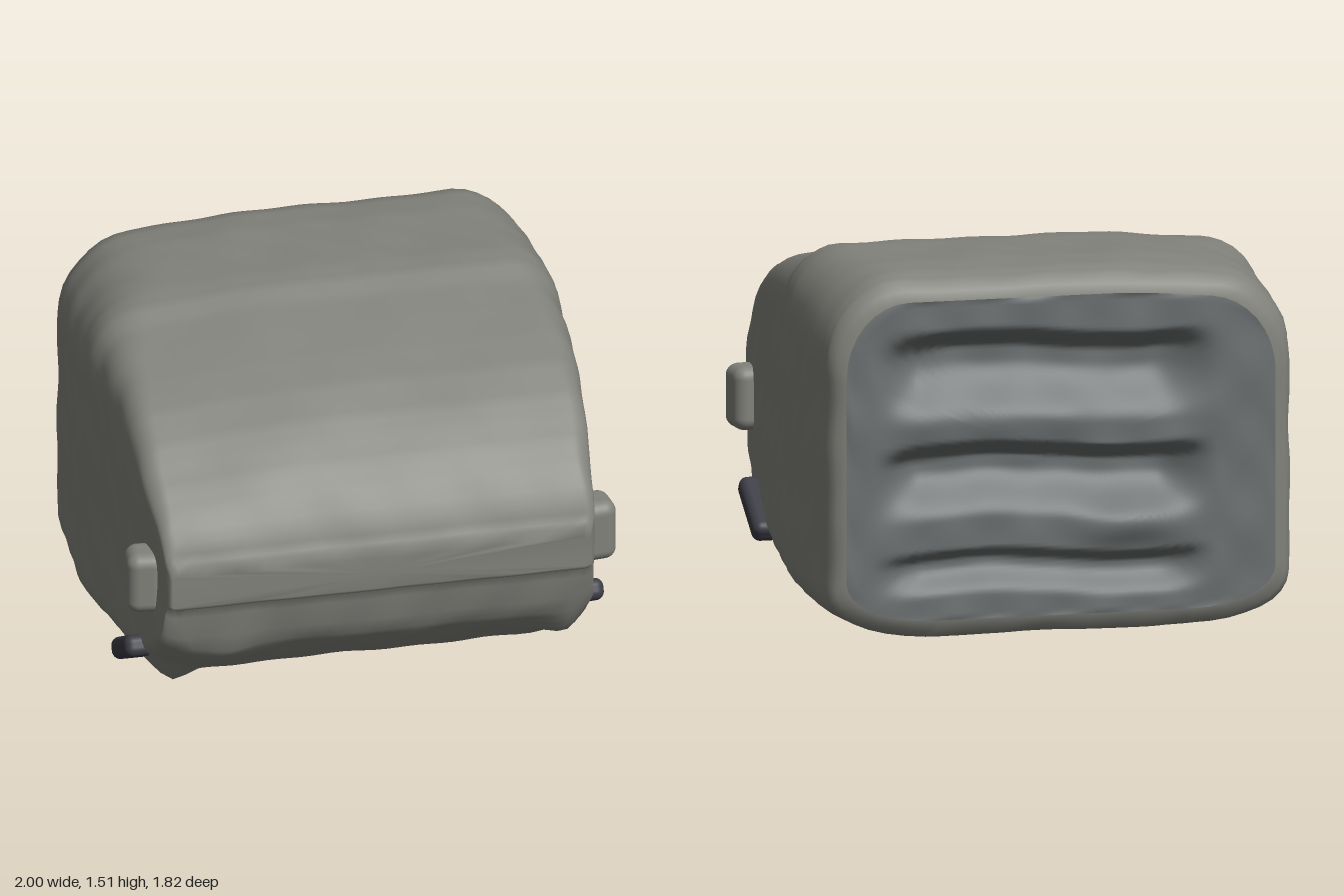
import * as THREE from 'three';
import { RoundedBoxGeometry } from 'three/addons/geometries/RoundedBoxGeometry.js';

const { smoothstep } = THREE.MathUtils;

// Sections from back to nose: z, bottom y, top y, half width, upper radius, lower radius
const SECTIONS = [
  [-0.865, 0.1, 1.4, 0.88, 0.26, 0.34],
  [-0.855, 0.06, 1.44, 0.92, 0.28, 0.37],
  [-0.82, 0.03, 1.475, 0.945, 0.29, 0.4],
  [-0.75, 0.015, 1.5, 0.955, 0.3, 0.42],
  [-0.6, 0.008, 1.515, 0.965, 0.3, 0.45],
  [-0.4, 0.01, 1.515, 0.975, 0.29, 0.45],
  [-0.24, 0.025, 1.515, 0.98, 0.26, 0.43],
  [-0.14, 0.04, 1.505, 0.968, 0.23, 0.4],
  [-0.05, 0.05, 1.465, 0.955, 0.2, 0.38],
  [0.1, 0.075, 1.425, 0.945, 0.16, 0.36],
  [0.25, 0.105, 1.38, 0.935, 0.13, 0.34],
  [0.4, 0.145, 1.325, 0.925, 0.1, 0.33],
  [0.54, 0.185, 1.25, 0.915, 0.09, 0.31],
  [0.61, 0.22, 1.2, 0.91, 0.08, 0.29],
  [0.7, 0.29, 1.13, 0.9, 0.07, 0.25],
  [0.78, 0.37, 1.05, 0.89, 0.06, 0.19],
  [0.83, 0.43, 0.985, 0.885, 0.05, 0.14],
  [0.86, 0.5, 0.94, 0.88, 0.05, 0.1],
  [0.878, 0.6, 0.895, 0.875, 0.04, 0.06],
  [0.89, 0.645, 0.86, 0.868, 0.03, 0.04],
  [0.905, 0.652, 0.845, 0.862, 0.03, 0.04],
  [0.912, 0.665, 0.8, 0.85, 0.02, 0.02],
];
const EDGE = 28, CORNER = 8, LOOP = 4 * (EDGE + CORNER);

// Rounded rectangle, counter-clockwise; the lower corners are wide and shallow
function loopPoints([, y0, y1, w, r, b]) {
  const corners = [
    [w, y0, 1, -1, b, b * 0.48], [w, y1, 1, 1, r, r * 1.15],
    [w, y1, -1, 1, r, r * 1.15], [w, y0, -1, -1, b, b * 0.48],
  ];
  const arcs = corners.map(([cw, cy, sx, sy, rx, ry], k) =>
    Array.from({ length: CORNER + 1 }, (_, i) => {
      const a = (k - 1 + i / CORNER) * Math.PI / 2;
      return [sx * (cw - rx) + rx * Math.cos(a), cy - sy * ry + ry * Math.sin(a)];
    }));
  const points = [];
  arcs.forEach((arc, k) => {
    points.push(...arc.slice(0, CORNER));
    const from = arc[CORNER], to = arcs[(k + 1) % 4][0];
    for (let i = 0; i < EDGE; i++) {
      const t = i / EDGE;
      points.push([from[0] + (to[0] - from[0]) * t, from[1] + (to[1] - from[1]) * t]);
    }
  });
  // the top sags a little towards the right side
  return points.map(([x, y]) =>
    [x, y - 0.045 * smoothstep(-x, 0.2, 0.9) * smoothstep(y, 0.85, 1.2)]);
}

// Gentle lumps of the rough surface
const lump = (x, y, z) => 0.005 * (
  Math.sin(9 * x + 5 * y + 3 * z) * Math.sin(7 * z - 6 * y + 1)
  + 0.7 * Math.sin(21 * x - 13 * z + 2) * Math.sin(19 * y + 17 * z));

// Knobs under the nose corners: x, z, spread, height out
const KNOBS = [[-0.78, 0.54, 0.08, 0.06], [0.78, 0.74, 0.07, 0.04], [-0.6, 0.8, 0.1, 0.025]];
const knob = (x, z) => KNOBS.reduce((sum, [kx, kz, spread, out]) =>
  sum + out * Math.exp(-((x - kx) ** 2 + (z - kz) ** 2) / spread ** 2), 0);

// Join equal loops into a skin, closing the last one with a centre point
function skin(rings) {
  const pos = rings.flat(2), index = [], last = rings.length - 1;
  for (let i = 0; i < last; i++) {
    for (let j = 0; j < LOOP; j++) {
      const a = i * LOOP + j, b = i * LOOP + (j + 1) % LOOP;
      index.push(a, b, b + LOOP, a, b + LOOP, a + LOOP);
    }
  }
  const centre = [0, 1, 2].map((k) => rings[last].reduce((s, p) => s + p[k], 0) / LOOP);
  pos.push(...centre);
  for (let j = 0; j < LOOP; j++) {
    index.push(last * LOOP + j, last * LOOP + (j + 1) % LOOP, rings.length * LOOP);
  }
  const geometry = new THREE.BufferGeometry();
  geometry.setAttribute('position', new THREE.Float32BufferAttribute(pos, 3));
  geometry.setIndex(index);
  geometry.computeVertexNormals();
  return geometry;
}

function shellGeometry() {
  const rows = [];
  SECTIONS.forEach((s, i) => {
    const next = SECTIONS[i + 1];
    const steps = next ? Math.max(1, Math.round((next[0] - s[0]) / 0.025)) : 1;
    for (let k = 0; k < steps; k++) {
      rows.push(next ? s.map((v, n) => v + (next[n] - v) * k / steps) : s);
    }
  });
  return skin(rows.map((row, i) => loopPoints(row).map(([x, y]) => {
    const z = row[0], d = i ? lump(x, y, z) : 0;
    const out = knob(x, z) * (1 - smoothstep(y, 0.4, 0.58));
    return [x * (1 + d), y + d * (y - 0.75) - out, z + d * Math.max(0, z) + out * 0.4];
  })));
}

// Three sunken slots: top y, height, depth
const SLOTS = [[1.27, 0.38, 0.12], [0.81, 0.32, 0.12], [0.37, 0.19, 0.07]];
// Ridges between the slots: x, y, spread in x, height out
const RIDGES = [[0.25, 0.9, 0.4, 0.02], [-0.3, 0.46, 0.2, 0.045]];

function backRelief(x, y) {
  const side = 1 - smoothstep(Math.abs(x - 0.07), 0.48, 0.72);
  let depth = 0;
  for (const [top, height, deep] of SLOTS) {
    const t = (top + 0.02 * Math.sin(5 * x) - y) / height;
    depth += deep * side * smoothstep(t, 0, 0.28) * (1 - smoothstep(t, 0.4, 1));
  }
  for (const [rx, ry, spread, out] of RIDGES) {
    depth -= out * Math.exp(-(((x - rx) / spread) ** 2) - (((y - ry) / 0.08) ** 2));
  }
  return depth + lump(x, y, 0);
}

function backGeometry() {
  const rim = loopPoints(SECTIONS[0]), rings = [], count = 48;
  for (let i = 0; i < count; i++) {
    const s = 1 - i / count;
    // reversed loops make the panel face backwards
    rings.push(rim.map(([x, y]) => {
      const px = x * s, py = 0.755 + (y - 0.755) * s;
      return [px, py, SECTIONS[0][0] + (i ? backRelief(px, py) : 0)];
    }).reverse());
  }
  return skin(rings);
}

export function createModel() {
  const group = new THREE.Group();
  const paint = (color) => new THREE.MeshStandardMaterial({ color });
  const add = (name, geometry, material) => {
    const mesh = new THREE.Mesh(geometry, material);
    mesh.name = name;
    group.add(mesh);
    return mesh;
  };
  const stone = paint(0x82827c), dark = paint(0x3c3d45);
  add('shell', shellGeometry(), stone);
  add('slottedBack', backGeometry(), paint(0x6c7070));

  for (const side of [1, -1]) {
    const name = side > 0 ? 'left' : 'right';
    // Square lugs on the sides
    const lug = add(name + 'Lug', new RoundedBoxGeometry(0.15, 0.26, 0.17, 4, 0.05), stone);
    lug.position.set(side * 0.92, side > 0 ? 0.725 : 0.7, 0.69);
    lug.rotation.y = side * 0.12;

    // Slanted dark clips below them
    const clip = add(name + 'Clip', new RoundedBoxGeometry(0.17, 0.09, 0.33, 4, 0.035), dark);
    clip.position.set(side * 0.895, side > 0 ? 0.31 : 0.27, 0.47);
    clip.rotation.x = -0.52;
  }
  return group;
}
